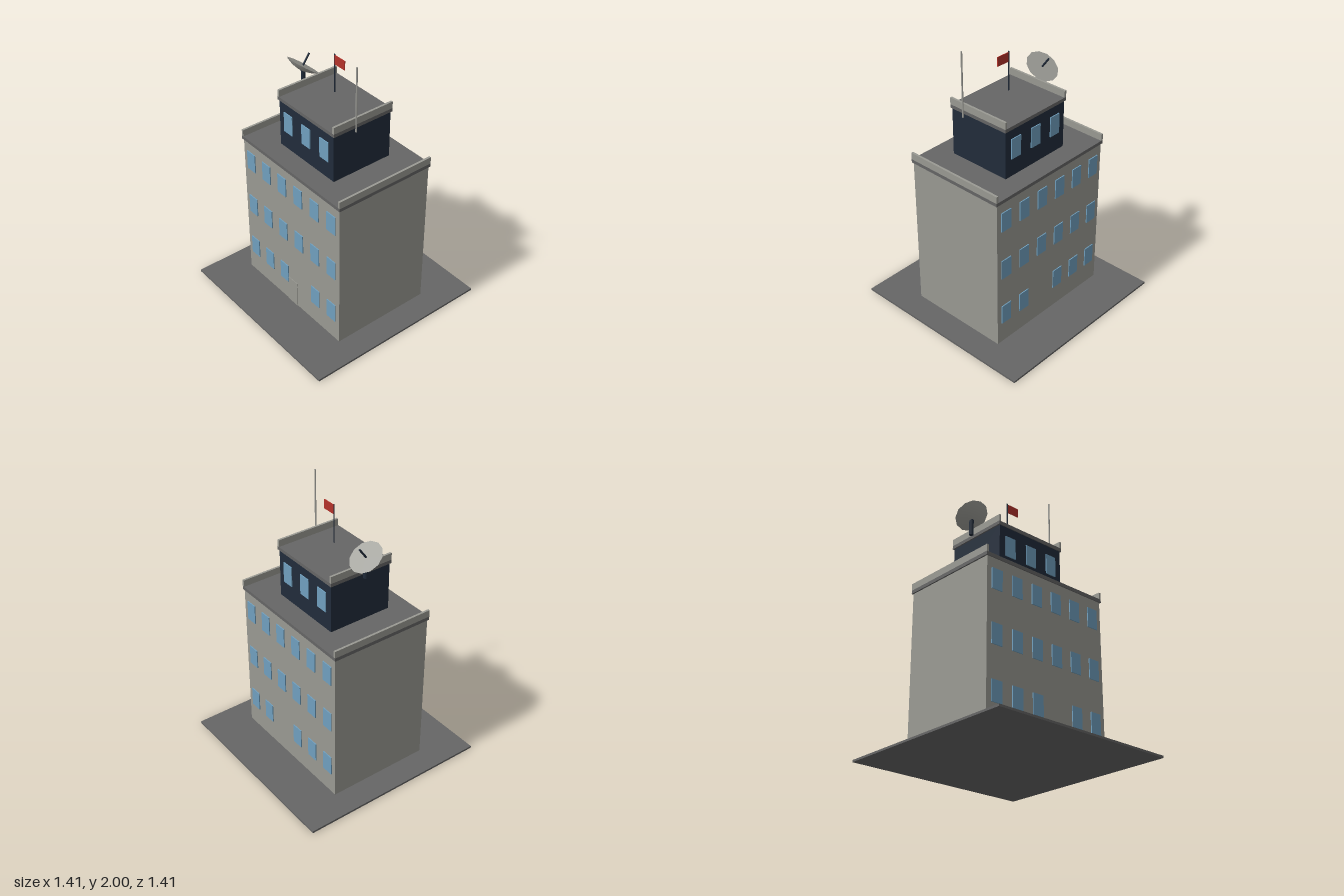
import * as THREE from 'three';

const mat = (name, color) => {
  const m = new THREE.MeshStandardMaterial({ color });
  m.name = name;
  return m;
};

export function createModel() {
  const concrete = mat('concrete', 0x9a9a93);
  const asphalt = mat('dark roofing', 0x666666);
  const navy = mat('navy cladding', 0x212c3b);
  const glass = mat('window glass', 0x70a0bf);
  const metal = mat('light metal', 0xa3a39d);
  const red = mat('flag red', 0xb5332b);

  const model = new THREE.Group();
  model.name = 'controlBuilding';

  const add = (parent, name, geometry, material, x = 0, y = 0, z = 0) => {
    const mesh = new THREE.Mesh(geometry, material);
    mesh.name = name;
    mesh.position.set(x, y, z);
    parent.add(mesh);
    return mesh;
  };
  // Box given by its bottom and top heights
  const box = (parent, name, material, w, d, y0, y1, x = 0, z = 0) =>
    add(parent, name, new THREE.BoxGeometry(w, y1 - y0, d), material, x, (y0 + y1) / 2, z);

  box(model, 'groundSlab', asphalt, 1.414, 1.414, 0, 0.015);

  // One storey block: walls, roof slab and two side parapets
  const block = (name, wallMat, w, d, y0, y1, roofTop) => {
    const g = new THREE.Group();
    g.name = name;
    model.add(g);
    const rw = w + 0.02, rd = d + 0.015;
    box(g, 'walls', wallMat, w, d, y0, y1);
    box(g, 'roofSlab', asphalt, rw, rd, y1, roofTop);
    for (const s of [-1, 1])
      box(g, 'parapet', concrete, 0.016, rd, roofTop, roofTop + 0.05, s * (rw / 2 - 0.008));
    return g;
  };
  const main = block('mainBlock', concrete, 1.034, 0.76, 0.015, 1.155, 1.18);
  const upper = block('upperBlock', navy, 0.566, 0.474, 1.18, 1.53, 1.555);

  // Windows on the front and back walls; the space by the door stays empty
  for (const s of [-1, 1]) {
    for (let row = 0; row < 3; row++)
      for (let col = 0; col < 6; col++) {
        if (row === 0 && col === 3) continue;
        const y = 0.249 + row * 0.379;
        box(main, 'window', glass, 0.088, 0.009, y - 0.073, y + 0.073, (col - 2.5) * 0.174, s * 0.3825);
      }
    for (let col = -1; col <= 1; col++)
      box(upper, 'window', glass, 0.088, 0.009, 1.31, 1.459, col * 0.188, s * 0.2395);
  }
  box(main, 'door', concrete, 0.111, 0.008, 0.015, 0.222, 0, 0.38);

  // Flag and pole
  add(model, 'flagPole', new THREE.CylinderGeometry(0.005, 0.005, 0.28, 6), navy, 0, 1.773, 0);
  box(model, 'flag', red, 0.103, 0.005, 1.84, 1.907, 0.0515);

  // Antenna mast
  add(model, 'antennaMast', new THREE.CylinderGeometry(0.006, 0.006, 0.47, 6), metal, 0.329, 1.765, 0.093);

  // Satellite dish tilted towards the back, on a post
  add(model, 'dishPost', new THREE.CylinderGeometry(0.016, 0.016, 0.12, 8), navy, -0.332, 1.59, 0);
  const dish = new THREE.Group();
  dish.name = 'satelliteDish';
  dish.position.set(-0.332, 1.681, 0);
  dish.rotation.x = -0.63;
  model.add(dish);
  const profile = [];
  for (let i = 0; i <= 5; i++) {
    const r = 0.12 * i / 5;
    profile.push(new THREE.Vector2(r, -0.036 * (1 - (i / 5) ** 2)));
  }
  add(dish, 'dishBack', new THREE.LatheGeometry(profile, 12), metal);
  add(dish, 'dishFace', new THREE.CircleGeometry(0.12, 12), metal).rotation.x = -Math.PI / 2;
  add(dish, 'dishFeed', new THREE.CylinderGeometry(0.007, 0.007, 0.09, 6), navy, 0, 0.045, 0);

  return model;
}
